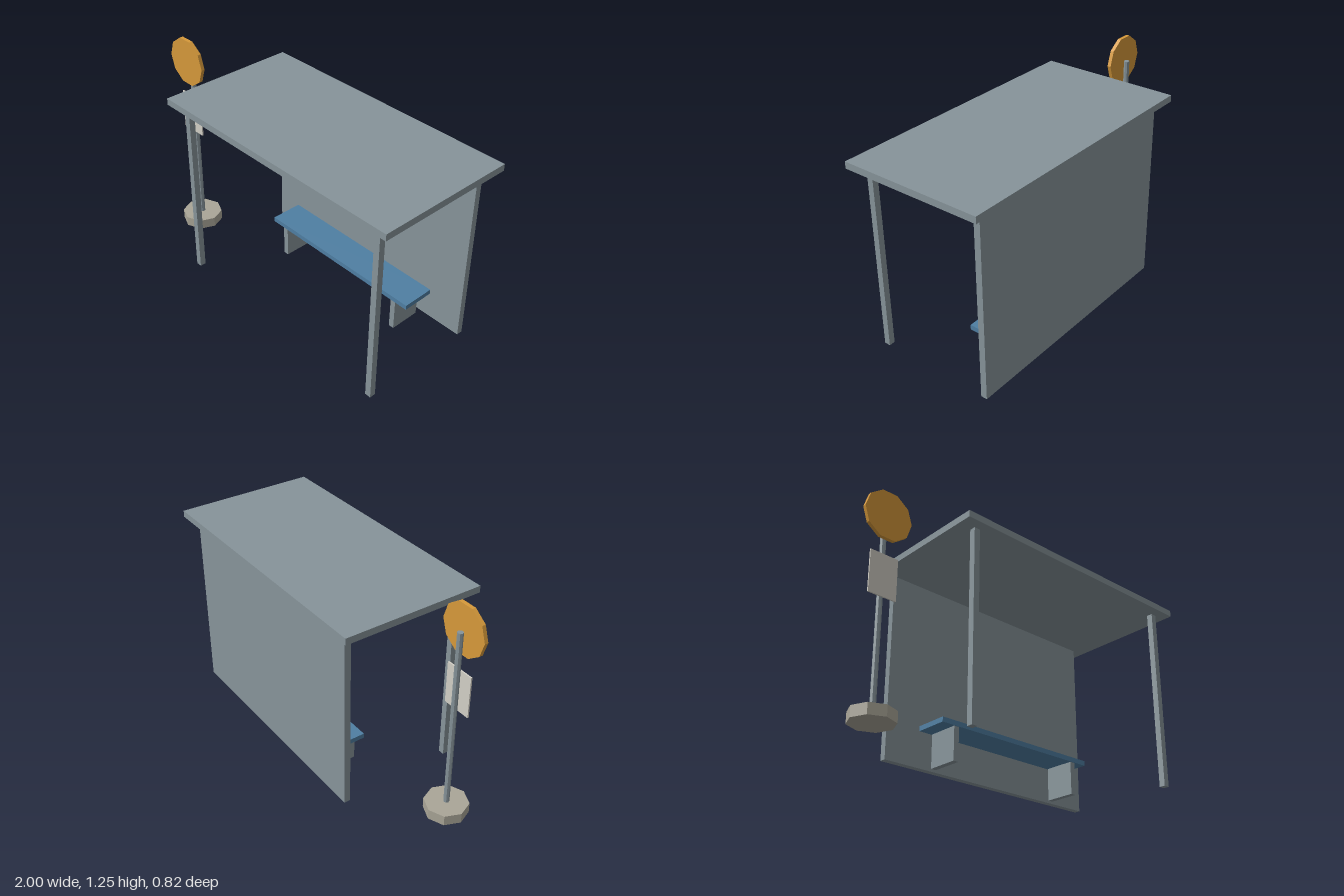
import * as THREE from 'three';

const material = (name, color) => {
  const m = new THREE.MeshStandardMaterial({ color, flatShading: true });
  m.name = name;
  return m;
};

export function createModel() {
  const steel = material('blue grey steel', 0x87949a);
  const blue = material('bench blue', 0x4f7fa3);
  const concrete = material('concrete', 0xaaa698);
  const amber = material('sign amber', 0xd6993a);
  const paper = material('notice off-white', 0xd2cfc6);

  const model = new THREE.Group();
  model.name = 'busShelter';

  const group = (name, x, z) => {
    const g = new THREE.Group();
    g.name = name;
    g.position.set(x, 0, z);
    model.add(g);
    return g;
  };
  const add = (parent, name, geometry, mat, x, y, z) => {
    const mesh = new THREE.Mesh(geometry, mat);
    mesh.name = name;
    mesh.position.set(x, y, z);
    parent.add(mesh);
    return mesh;
  };
  // Box given by its bottom height
  const box = (parent, name, mat, w, h, d, x, bottom, z) =>
    add(parent, name, new THREE.BoxGeometry(w, h, d), mat, x, bottom + h / 2, z);

  // Shelter: roof, back wall and two front posts
  const shelter = group('shelter', 0.202, 0);
  box(shelter, 'roof', steel, 1.596, 0.038, 0.816, 0, 1.067, 0);
  box(shelter, 'backWall', steel, 1.436, 1.064, 0.036, 0, 0, -0.338);
  for (const side of [-1, 1])
    box(shelter, side < 0 ? 'rightPost' : 'leftPost', steel, 0.035, 1.064, 0.035, side * 0.7, 0, 0.338);

  // Bench: seat on two slab legs
  const bench = group('bench', 0.203, -0.191);
  box(bench, 'seat', blue, 1.06, 0.028, 0.192, 0, 0.19, 0);
  for (const side of [-1, 1])
    box(bench, side < 0 ? 'rightLeg' : 'leftLeg', steel, 0.032, 0.19, 0.183, side * 0.433, 0, 0);

  // Stop sign: base, pole, notice panel and ten-sided disc
  const stop = group('stopSign', -0.857, 0.05);
  add(stop, 'base', new THREE.CylinderGeometry(0.12, 0.12, 0.06, 8), concrete, 0, 0.03, 0);
  add(stop, 'pole', new THREE.CylinderGeometry(0.016, 0.016, 1.048, 8), steel, 0, 0.584, 0);
  box(stop, 'noticePanel', paper, 0.166, 0.237, 0.008, 0, 0.654, 0.017);
  const disc = add(stop, 'signDisc',
    new THREE.CylinderGeometry(0.143, 0.143, 0.021, 10, 1, false, Math.PI / 2), amber, 0, 1.112, 0.0285);
  disc.rotation.x = Math.PI / 2;

  return model;
}
